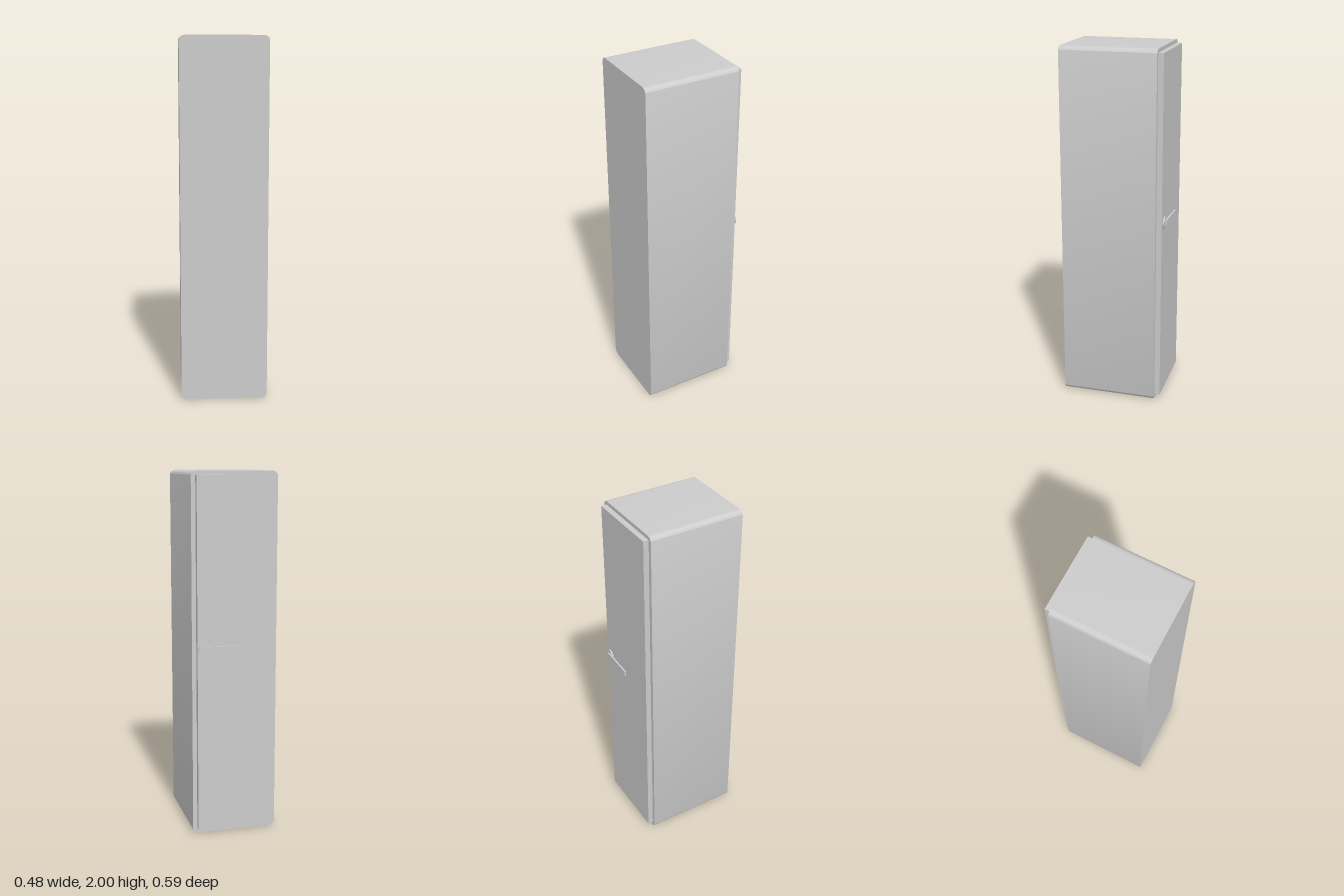
import * as THREE from 'three';
import { toCreasedNormals } from 'three/addons/utils/BufferGeometryUtils.js';

const material = new THREE.MeshStandardMaterial({ color: 0xcccccc });

function addPart(parent, name, geometry, x, y, z) {
  const mesh = new THREE.Mesh(geometry, material);
  mesh.name = name;
  mesh.position.set(x, y, z);
  parent.add(mesh);
  return mesh;
}

// Rectangle with rounded corners, standing on y = 0
function roundedRect(w, h, r) {
  const s = new THREE.Shape();
  s.absarc(w / 2 - r, r, r, -Math.PI / 2, 0);
  s.absarc(w / 2 - r, h - r, r, 0, Math.PI / 2);
  s.absarc(-w / 2 + r, h - r, r, Math.PI / 2, Math.PI);
  s.absarc(-w / 2 + r, r, r, Math.PI, Math.PI * 1.5);
  s.closePath();
  return s;
}

export function createModel() {
  const cabinet = new THREE.Group();
  cabinet.name = 'cabinet';

  // Tall body, rounded along its four long edges
  const body = new THREE.ExtrudeGeometry(roundedRect(0.476, 2, 0.03), {
    depth: 0.534, bevelEnabled: false, curveSegments: 8,
  });
  addPart(cabinet, 'body', toCreasedNormals(body, 0.6), 0, 0, -0.241);

  // Door panel standing proud of the back face
  addPart(cabinet, 'door', new THREE.BoxGeometry(0.43, 1.953, 0.032), -0.001, 1.003, -0.255);

  // Door handle: spindle, round rose and slightly splayed lever
  const handle = new THREE.Group();
  handle.name = 'handle';
  handle.position.set(0.176, 1.06, 0);
  cabinet.add(handle);
  const disc = (r, d) => new THREE.CylinderGeometry(r, r, d, 24).rotateX(Math.PI / 2);
  addPart(handle, 'handleSpindle', disc(0.01, 0.016), 0, 0, -0.276);
  addPart(handle, 'handleRose', disc(0.034, 0.008), 0, 0, -0.279);
  const lever = addPart(handle, 'handleLever', new THREE.BoxGeometry(0.202, 0.03, 0.009), -0.097, 0, -0.289);
  lever.rotation.y = -0.022;

  return cabinet;
}
